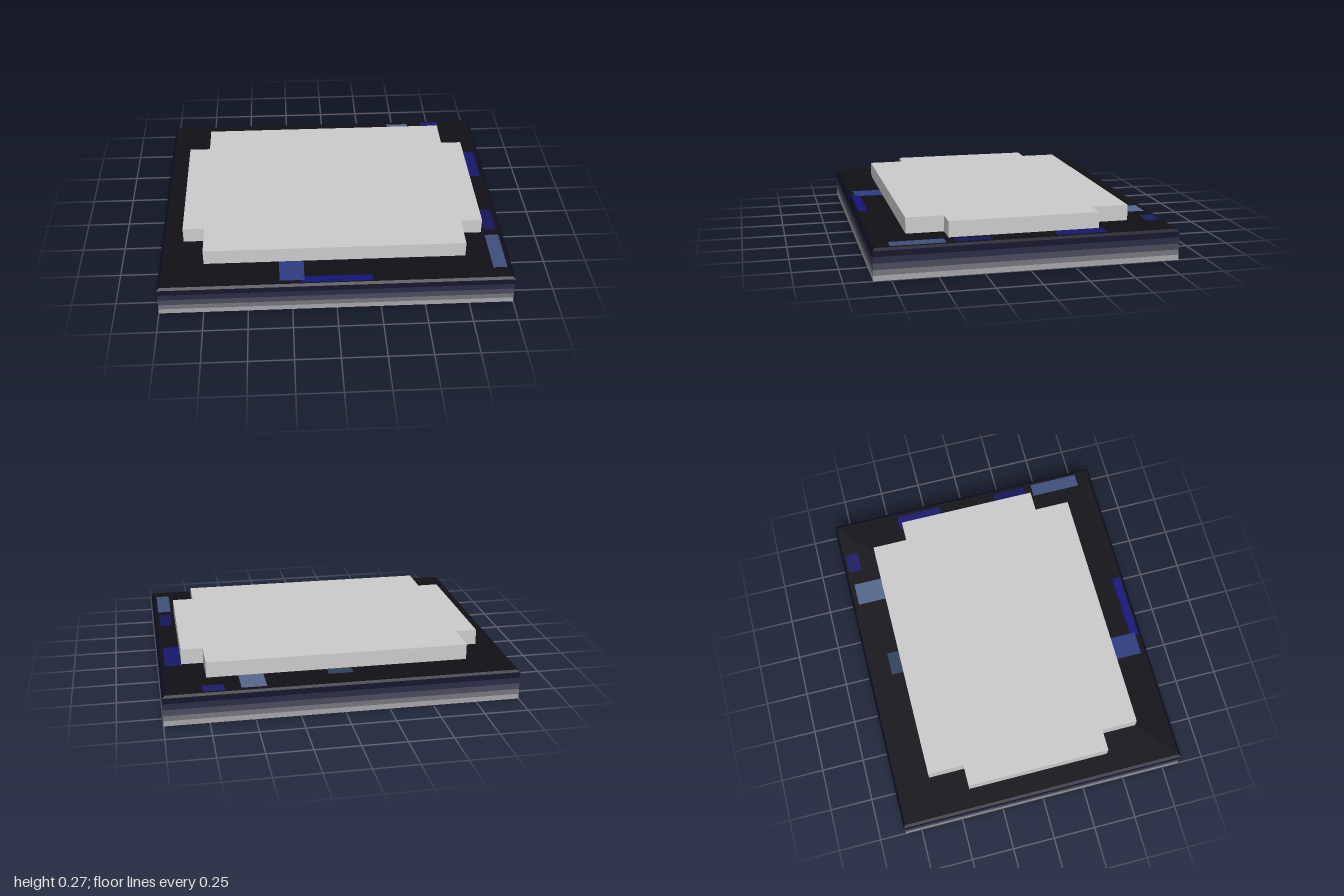
import * as THREE from 'three';

const HALF_X = 1, HALF_Z = 0.845, TOP = 0.175;

function material(color) {
  return new THREE.MeshStandardMaterial({ color, flatShading: true });
}

function add(group, name, geometry, color) {
  const mesh = new THREE.Mesh(geometry, material(color));
  mesh.name = name;
  group.add(mesh);
}

// Open four-sided ring between two heights, scaled to the slab's footprint
function wallBand(y0, y1, bottomScale, topScale) {
  const g = new THREE.CylinderGeometry(topScale * Math.SQRT2, bottomScale * Math.SQRT2, y1 - y0, 4, 1, true);
  g.rotateY(Math.PI / 4);
  g.scale(HALF_X, 1, HALF_Z);
  g.translate(0, (y0 + y1) / 2, 0);
  return g;
}

// Horizontal rectangle facing up or down
function flat(width, depth, x, y, z, up = true) {
  const g = new THREE.PlaneGeometry(width, depth);
  g.rotateX(up ? -Math.PI / 2 : Math.PI / 2);
  g.translate(x, y, z);
  return g;
}

export function createModel() {
  const model = new THREE.Group();
  model.name = 'steppedPlate';

  // Base slab: walls darken from grey to navy, with a thin bevel on top
  const base = new THREE.Group();
  base.name = 'baseSlab';
  model.add(base);
  const bands = [
    [0, 0.03, 1, 1, 0xa4a4aa],
    [0.03, 0.06, 1, 1, 0x75757f],
    [0.06, 0.095, 1, 1, 0x4a4a5c],
    [0.095, 0.13, 1, 1, 0x2c2c44],
    [0.13, 0.163, 1, 1, 0x16162c],
    [0.163, TOP, 1, 0.985, 0x0c0c24],
  ];
  for (const [y0, y1, s0, s1, color] of bands) add(base, 'wallBand', wallBand(y0, y1, s0, s1), color);
  add(base, 'underside', flat(2 * HALF_X, 2 * HALF_Z, 0, 0, 0, false), 0xcccccc);
  add(base, 'topSurface', flat(1.97 * HALF_X, 1.97 * HALF_Z, 0, TOP, 0), 0x101016);

  // Blue flecks on the border: width, depth, x, z, color
  const flecks = [
    [0.14, 0.17, 0.5, -0.72, 0x56688c],
    [0.12, 0.08, 0.72, -0.78, 0x1c1c66],
    [0.14, 0.07, 0.0, -0.67, 0x30405c],
    [0.14, 0.17, -0.25, 0.72, 0x2c3c80],
    [0.4, 0.05, 0.0, 0.8, 0x14147a],
    [0.09, 0.28, 0.92, -0.3, 0x18186c],
    [0.07, 0.2, 0.93, 0.3, 0x14145c],
    [0.08, 0.3, 0.93, 0.6, 0x40507c],
  ];
  for (const [w, d, x, z, color] of flecks) add(base, 'fleck', flat(w, d, x, TOP + 0.001, z), color);

  // Raised plate with notched corners
  const wide = 0.873, inner = 0.748, deep = 0.634, notch = 0.422;
  const corner = [[wide, -notch], [wide, notch], [inner, notch], [inner, deep]];
  const outline = [
    ...corner,
    ...corner.slice(1).reverse().map(([x, z]) => [-x, z]),
    ...corner.slice(1).map(([x, z]) => [-x, -z]),
    ...corner.slice(2).reverse().map(([x, z]) => [x, -z]),
  ];
  const shape = new THREE.Shape(outline.map(([x, z]) => new THREE.Vector2(x, z)));
  const plate = new THREE.ExtrudeGeometry(shape, { depth: 0.265 - TOP, bevelEnabled: false });
  plate.rotateX(-Math.PI / 2);
  plate.translate(0, TOP, 0);
  add(model, 'raisedPlate', plate, 0xcccccc);

  return model;
}
